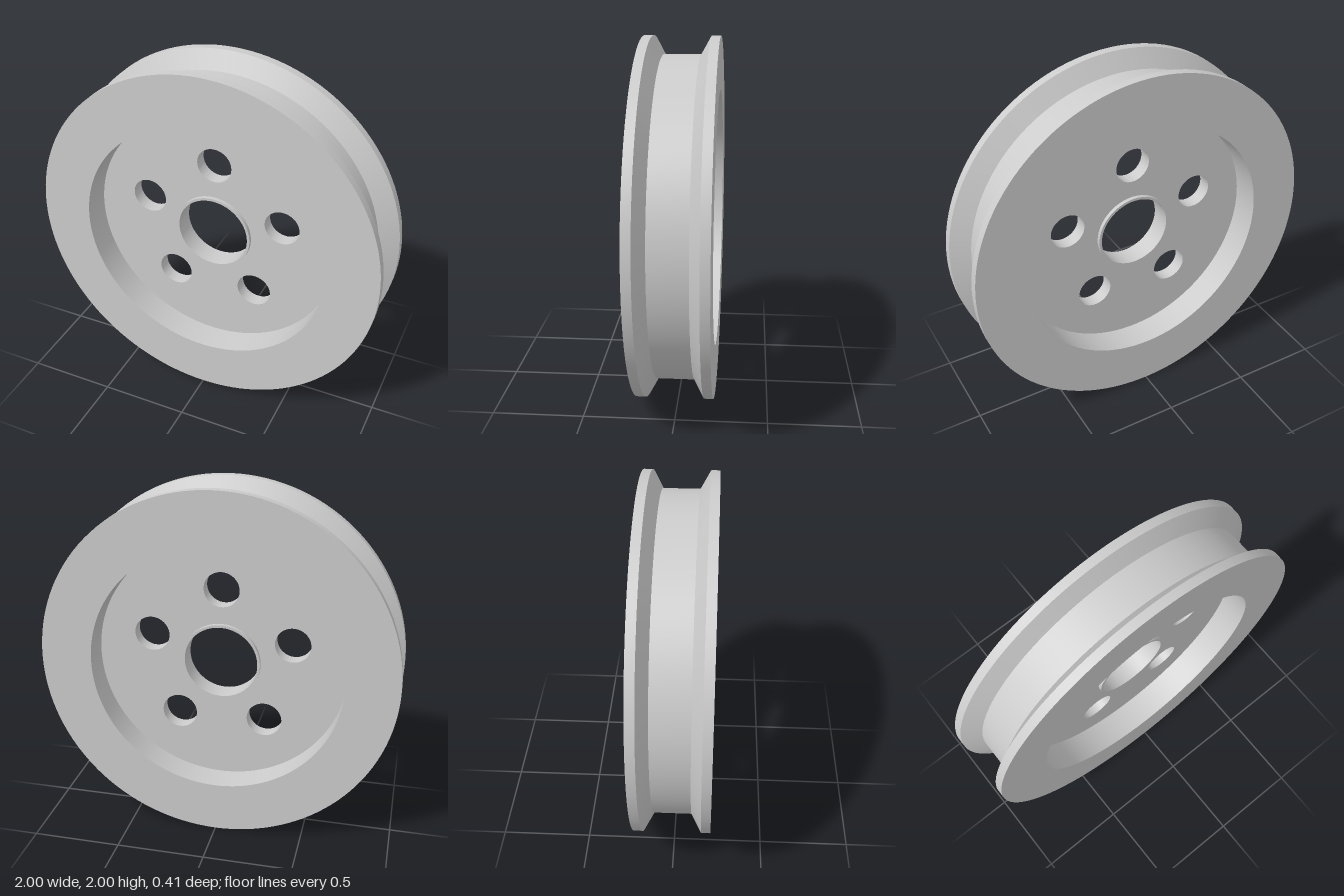
import * as THREE from 'three';
import { toCreasedNormals } from 'three/addons/utils/BufferGeometryUtils.js';

const SEGMENTS = 128;
const RECESS_R = 0.71, BORE_R = 0.207, HUB_R = 0.222;
const WEB_HALF = 0.04;

export function createModel() {
  const group = new THREE.Group();
  const material = new THREE.MeshStandardMaterial({ color: 0xcccccc });

  const add = (name, geometry) => {
    const mesh = new THREE.Mesh(toCreasedNormals(geometry, 0.5), material);
    mesh.name = name;
    mesh.position.y = 1;
    group.add(mesh);
  };

  // Closed [radius, z] profile revolved about the z axis
  const revolve = (profile) => {
    const points = [...profile, profile[0]].map(([r, z]) => new THREE.Vector2(r, z));
    return new THREE.LatheGeometry(points, SEGMENTS).rotateX(Math.PI / 2);
  };

  // Outer rim with a flared belt groove
  add('rim', revolve([
    [RECESS_R, -0.207], [1, -0.207], [1, -0.157], [0.9, -0.102],
    [0.9, 0.102], [1, 0.157], [1, 0.207], [RECESS_R, 0.207],
  ]));

  // Thin recessed web, its edges seated inside the rim and hub
  const disc = new THREE.Shape().absarc(0, 0, RECESS_R + 0.01, 0, Math.PI * 2);
  const cutHole = (x, y, r) =>
    disc.holes.push(new THREE.Path().absarc(x, y, r, 0, Math.PI * 2, true));
  cutHole(0, 0, (BORE_R + HUB_R) / 2);
  // Five bolt holes
  for (let i = 0; i < 5; i++) {
    const a = Math.PI / 2 + (i * Math.PI * 2) / 5;
    cutHole(0.42 * Math.cos(a), 0.42 * Math.sin(a), 0.1);
  }
  const web = new THREE.ExtrudeGeometry(disc, {
    depth: WEB_HALF * 2, bevelEnabled: false, curveSegments: 64,
  });
  add('web', web.translate(0, 0, -WEB_HALF));

  // Hub sleeve standing slightly proud of the web
  add('hub', revolve([
    [BORE_R, -0.062], [HUB_R, -0.062], [HUB_R, 0.062], [BORE_R, 0.062],
  ]));

  return group;
}
